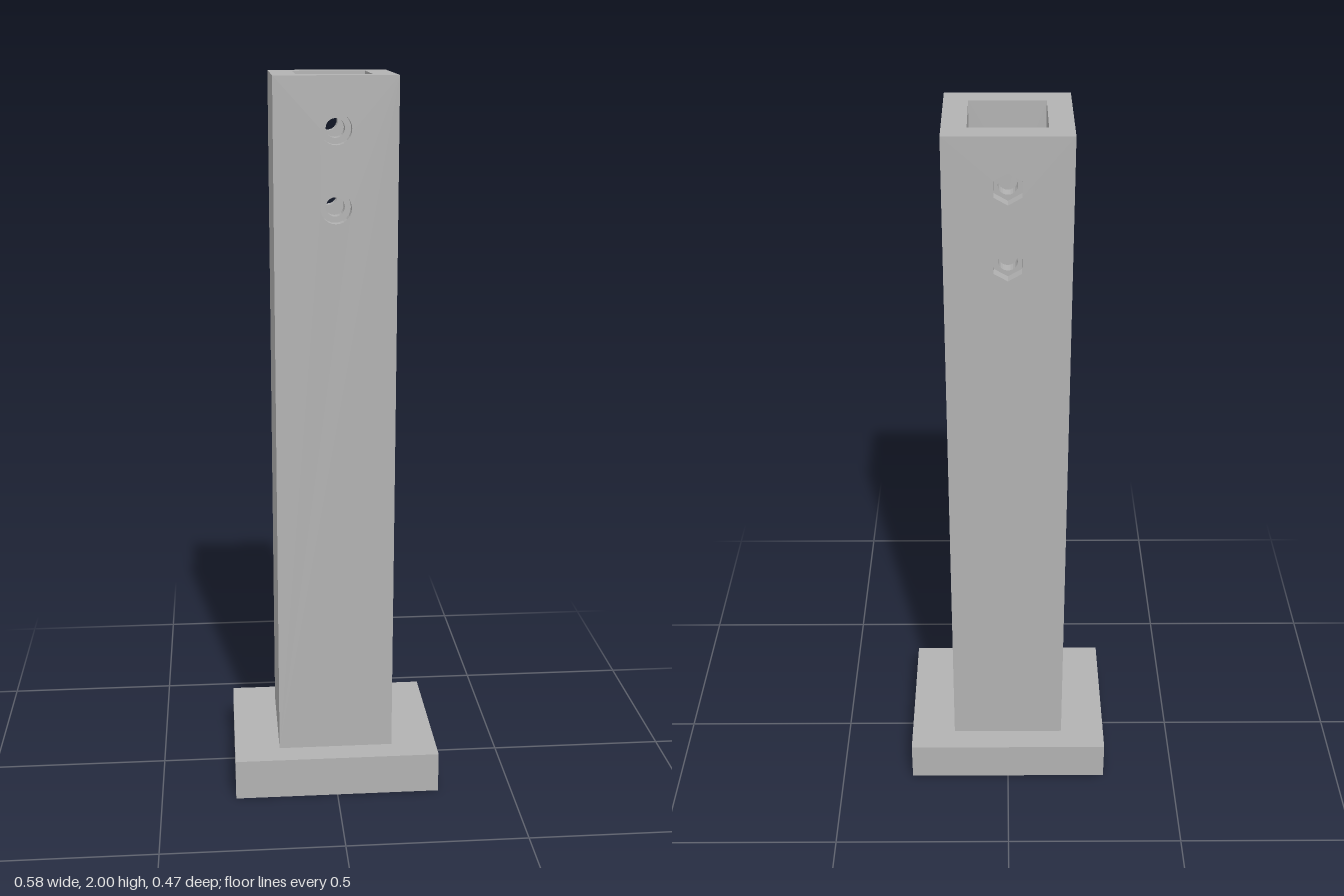
import * as THREE from 'three';

const OUT = 0.162, IN = 0.099;      // half widths of the post and its cavity
const BASE = 0.116, TOP = 2;        // plate height, post top
const HOLES = [1.867, 1.665];       // bolt heights
const BORE = 0.025, HEAD = 0.041, RECESS = 0.03;

function polygon(Type, radius, sides, y = 0) {
  const p = new Type();
  const points = [];
  for (let i = 0; i < sides; i++) {
    const a = Math.PI / 2 + (i / sides) * Math.PI * 2;
    points.push(new THREE.Vector2(Math.cos(a) * radius, y + Math.sin(a) * radius));
  }
  p.setFromPoints(points);
  p.closePath();
  return p;
}

function rectangle(Type, halfW, y0, y1) {
  return new Type([[-halfW, y0], [halfW, y0], [halfW, y1], [-halfW, y1]].map(([x, y]) => new THREE.Vector2(x, y)));
}

export function createModel() {
  const model = new THREE.Group();
  const grey = new THREE.MeshStandardMaterial({ color: 0xb2b2b2, side: THREE.DoubleSide, flatShading: true });
  grey.name = 'grey';

  function add(parent, name, geometry) {
    const mesh = new THREE.Mesh(geometry, grey);
    mesh.name = name;
    parent.add(mesh);
    return mesh;
  }

  // Base plate, which also closes the cavity
  add(model, 'basePlate', new THREE.BoxGeometry(0.58, BASE, 0.466)).position.y = BASE / 2;

  // Square tube: a pierced wall front and back, plain walls at the sides
  const post = new THREE.Group();
  post.name = 'post';
  model.add(post);

  function piercedWall(name, half, radius, sides) {
    const shape = rectangle(THREE.Shape, half, BASE, TOP);
    HOLES.forEach(y => shape.holes.push(polygon(THREE.Path, radius, sides, y)));
    return [name, new THREE.ShapeGeometry(shape)];
  }

  // Open sleeve along z between two depths
  function sleeve(radius, sides, z0, z1, y) {
    return new THREE.CylinderGeometry(radius, radius, z1 - z0, sides, 1, true)
      .rotateX(Math.PI / 2).translate(0, y, (z0 + z1) / 2);
  }

  // Round head recesses in front, hexagonal nut recesses behind
  [['front', 24, 0], ['back', 6, Math.PI]].forEach(([side, sides, turn]) => {
    const wall = new THREE.Group();
    wall.name = side + 'Wall';
    wall.rotation.y = turn;
    post.add(wall);
    add(wall, ...piercedWall(side + 'OuterFace', OUT, HEAD, sides)).position.z = OUT;
    const inner = add(wall, ...piercedWall(side + 'InnerFace', IN, BORE, 24));
    inner.position.z = IN;
    inner.rotation.y = Math.PI;
    HOLES.forEach(y => {
      const ring = polygon(THREE.Shape, HEAD, sides);
      ring.holes.push(polygon(THREE.Path, BORE, 24));
      add(wall, side + 'RecessFloor', new THREE.ShapeGeometry(ring)).position.set(0, y, OUT - RECESS);
      // A half turn puts a hexagon corner at the top
      add(wall, side + 'RecessWall', sleeve(HEAD, sides, OUT - RECESS, OUT, y));
      add(wall, side + 'Bore', sleeve(BORE, 24, IN, OUT - RECESS, y));
    });
  });

  const height = TOP - BASE;
  [['left', 1], ['right', -1]].forEach(([side, s]) => {
    [['Outer', OUT, 1], ['Inner', IN, -1]].forEach(([layer, half, facing]) => {
      const face = add(post, side + layer + 'Face', new THREE.PlaneGeometry(half * 2, height));
      face.position.set(s * half, BASE + height / 2, 0);
      face.rotation.y = s * facing * Math.PI / 2;
    });
  });

  // Square rim around the open top
  const rim = rectangle(THREE.Shape, OUT, -OUT, OUT);
  rim.holes.push(rectangle(THREE.Path, IN, -IN, IN));
  add(post, 'topRim', new THREE.ShapeGeometry(rim).rotateX(-Math.PI / 2)).position.y = TOP;

  return model;
}
